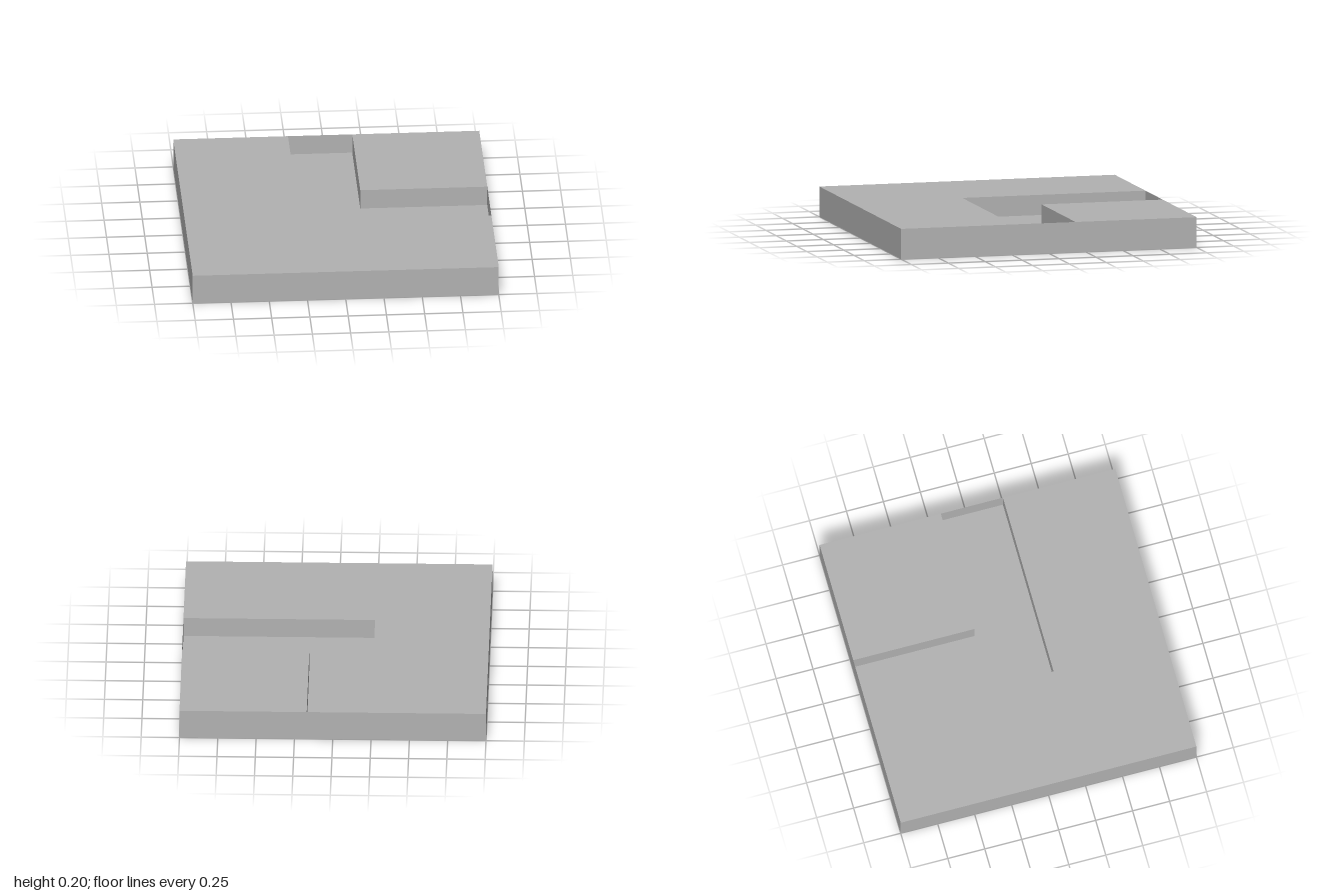
import * as THREE from 'three';

const H = 0.2;        // slab height
const FLOOR = 0.067;  // channel floor height

export function createModel() {
  const group = new THREE.Group();
  const grey = new THREE.MeshStandardMaterial({ color: 0xb2b2b2, side: THREE.DoubleSide });
  grey.name = 'plain grey';

  const add = (name, geometry) => {
    const mesh = new THREE.Mesh(geometry, grey);
    mesh.name = name;
    group.add(mesh);
  };

  // Flat horizontal face from [x, z] corners
  const flat = (name, points, y) => {
    const shape = new THREE.Shape(points.map(([x, z]) => new THREE.Vector2(x, -z)));
    add(name, new THREE.ShapeGeometry(shape).rotateX(-Math.PI / 2).translate(0, y, 0));
  };

  // Upright walls along a path of [x, z] points, from channel floor to top
  const walls = (name, points) => {
    for (let i = 0; i < points.length - 1; i++) {
      const [x0, z0] = points[i], [x1, z1] = points[i + 1];
      const g = new THREE.PlaneGeometry(Math.hypot(x1 - x0, z1 - z0), H - FLOOR);
      g.rotateY(Math.atan2(z0 - z1, x1 - x0));
      g.translate((x0 + x1) / 2, (H + FLOOR) / 2, (z0 + z1) / 2);
      add(name + (i + 1), g);
    }
  };

  // Outer sides and underside: a box without its top face
  const shell = new THREE.BoxGeometry(2, H, 2).translate(0, H / 2, 0);
  const index = Array.from(shell.index.array);
  index.splice(12, 6);
  shell.setIndex(index);
  shell.clearGroups();
  add('outerShell', shell);

  // The two edges of the L-shaped channel
  const outer = [[-0.25, -1], [-0.25, 0.24], [1, 0.24]];
  const inner = [[1, -0.18], [0.17, -0.18], [0.17, -1]];

  flat('outerTop', [[-1, -1], [-1, 1], [1, 1], ...[...outer].reverse()], H);
  flat('cornerBlockTop', [...inner, [1, -1]], H);
  flat('channelFloor', [...outer, ...inner], FLOOR);
  walls('channelOuterWall', outer);
  walls('channelInnerWall', inner);

  return group;
}
